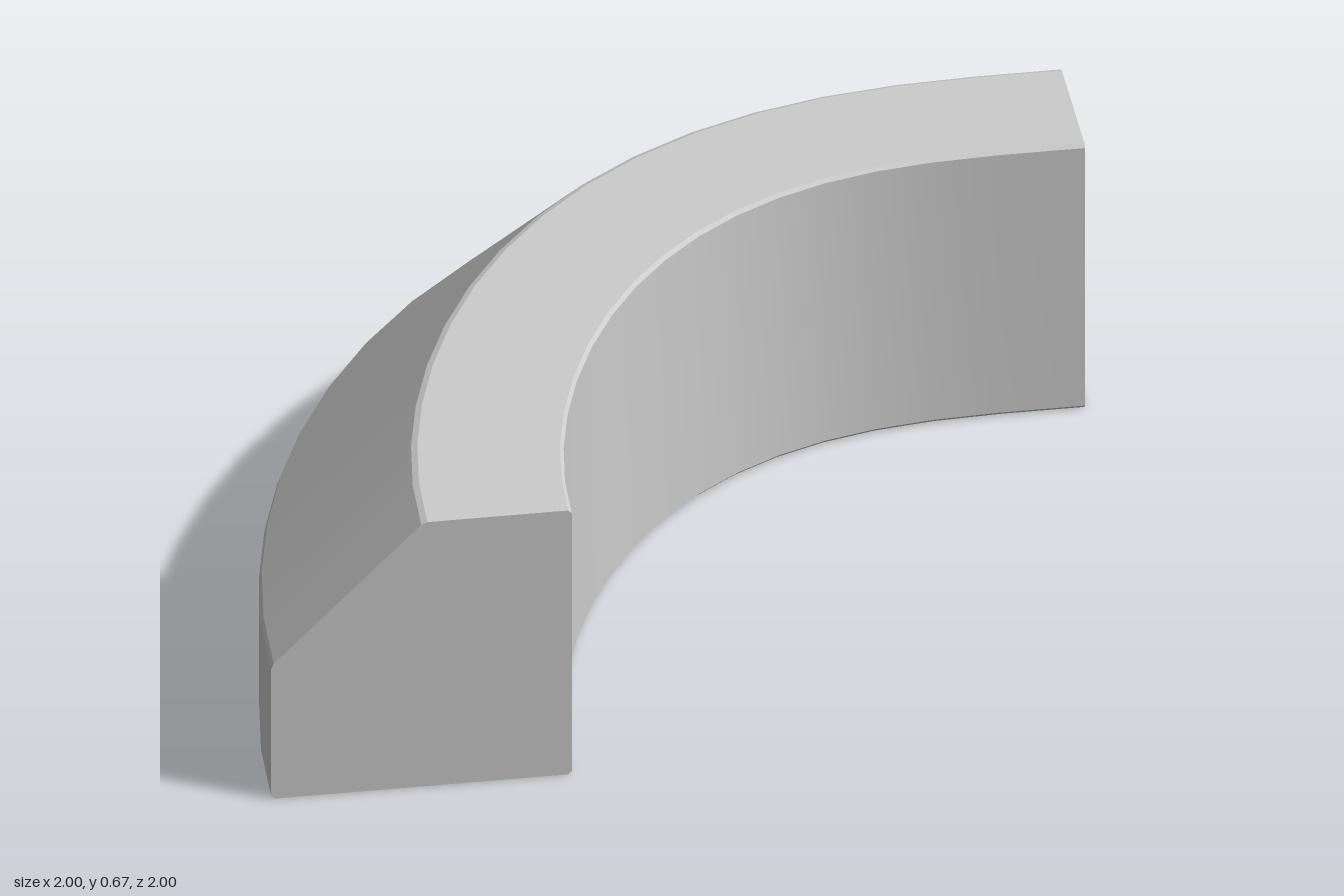
import * as THREE from 'three';
import { toCreasedNormals } from 'three/addons/utils/BufferGeometryUtils.js';

const SEGMENTS = 16;
const BEVEL = 0.008;

// Cross-section corners: distance inward from the outer wall, height
const CORNERS = [[0, 0], [0.66, 0], [0.66, 0.667], [0.335, 0.667], [0, 0.335]]
  .map(([d, y]) => new THREE.Vector2(d, y));

// Replace each corner by two points for a fine bevel
function bevelled(corners) {
  return corners.flatMap((c, i) => {
    const n = corners.length;
    return [corners[(i + n - 1) % n], corners[(i + 1) % n]].map((other) =>
      other.clone().sub(c).setLength(BEVEL).add(c));
  });
}

// Outer edge of the bend: a quarter turn that bulges past the middle
function outerEdge(s) {
  const r = 2 + 2.29 * Math.pow(s, 3.2) * Math.pow(1 - s, 1.9);
  const a = s * Math.PI / 2;
  return new THREE.Vector2(1 - r * Math.cos(a), 1 - r * Math.sin(a));
}

// Sweep the section along the bend and close both ends
function sweepGeometry() {
  const section = bevelled(CORNERS);
  const n = section.length;
  const positions = [];
  const index = [];
  for (let j = 0; j <= SEGMENTS; j++) {
    const s = j / SEGMENTS;
    const p = outerEdge(s);
    const t = outerEdge(Math.min(1, s + 0.001))
      .sub(outerEdge(Math.max(0, s - 0.001))).normalize();
    // Square the end faces to the axes
    if (j === 0) t.set(0, -1);
    if (j === SEGMENTS) t.set(1, 0);
    for (const c of section) {
      positions.push(p.x - t.y * c.x, c.y, p.y + t.x * c.x);
    }
  }
  for (let j = 0; j < SEGMENTS; j++) {
    for (let i = 0; i < n; i++) {
      const a = j * n + i;
      const b = j * n + (i + 1) % n;
      index.push(a, a + n, b, b, a + n, b + n);
    }
  }
  const last = SEGMENTS * n;
  for (let i = 1; i < n - 1; i++) {
    index.push(0, i, i + 1);
    index.push(last, last + i + 1, last + i);
  }
  const geometry = new THREE.BufferGeometry();
  geometry.setAttribute('position', new THREE.Float32BufferAttribute(positions, 3));
  geometry.setIndex(index);
  return toCreasedNormals(geometry, 0.3);
}

export function createModel() {
  const group = new THREE.Group();
  group.name = 'curvedKerb';
  const material = new THREE.MeshStandardMaterial({ color: 0xcccccc });
  const block = new THREE.Mesh(sweepGeometry(), material);
  block.name = 'curvedBlock';
  group.add(block);
  return group;
}
